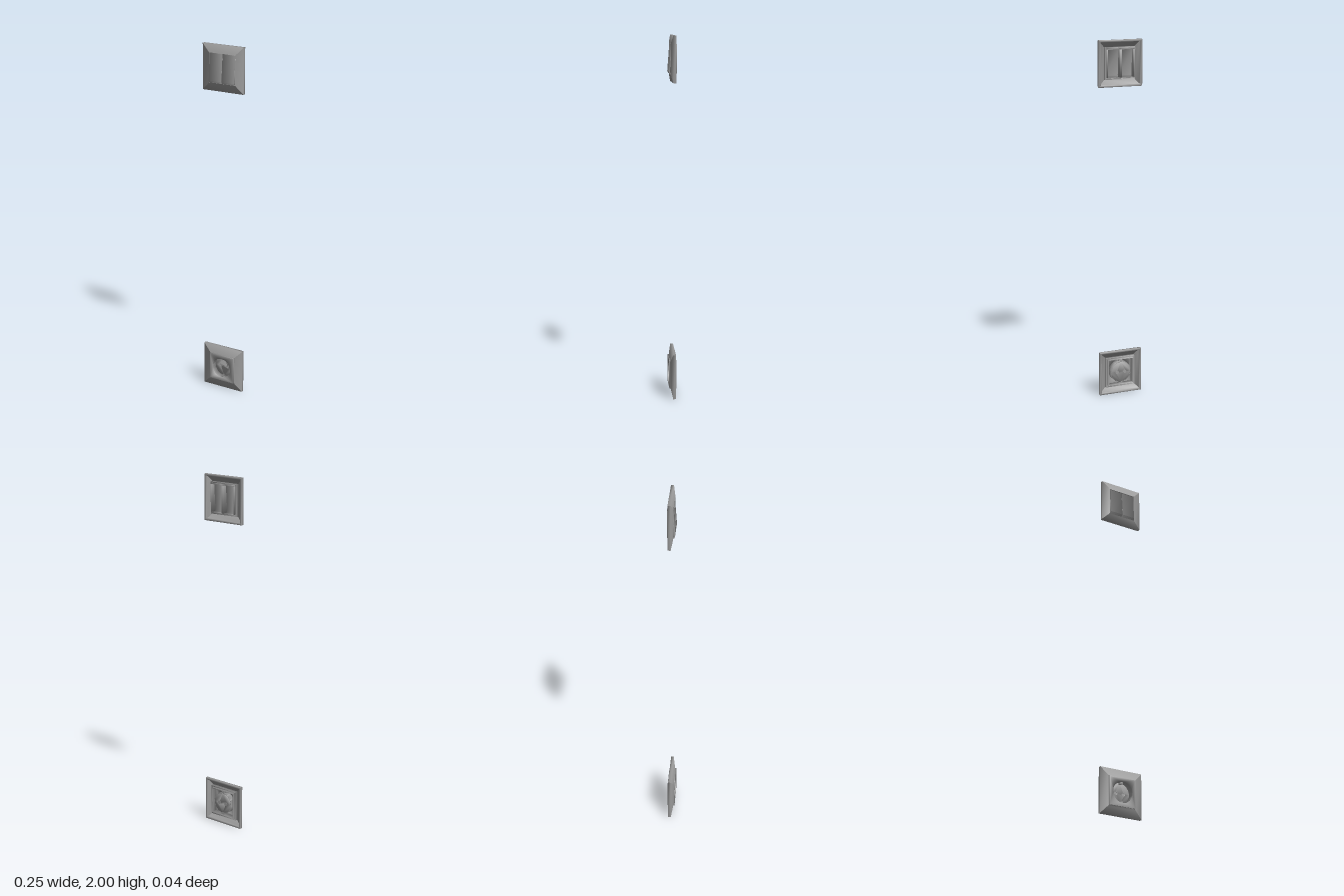
import * as THREE from 'three';
import { toCreasedNormals } from 'three/addons/utils/BufferGeometryUtils.js';

const material = new THREE.MeshStandardMaterial({ color: 0x9c9c9c, side: THREE.DoubleSide });
const HALF = 0.126; // half width of a cover plate
const SOFT = 1.7; // crease angle that shades softly across right-angled edges
const vecs = (pts) => pts.map(([a, b]) => new THREE.Vector2(a, b));

function add(parent, name, geometry, x = 0, y = 0, z = 0) {
  const mesh = new THREE.Mesh(toCreasedNormals(geometry, SOFT), material);
  mesh.name = name;
  mesh.position.set(x, y, z);
  parent.add(mesh);
}

// Sweeps a [distance from centre, z] profile around the z axis
const turned = (pts, sides) => new THREE.LatheGeometry(vecs(pts), sides).rotateX(Math.PI / 2);

// Four straight lengths of one profile, each shaded on its own so the mitres stay crisp
function addSquareRing(parent, name, pts) {
  const p = vecs(pts.map(([r, z]) => [r * Math.SQRT2, z]));
  for (let i = 0; i < 4; i++) {
    const start = Math.PI / 4 + i * Math.PI / 2;
    add(parent, name, new THREE.LatheGeometry(p, 1, start, Math.PI / 2).rotateX(Math.PI / 2));
  }
}

function extruded(shape, depth) {
  return new THREE.ExtrudeGeometry(shape, { depth, bevelEnabled: false, curveSegments: 32 });
}

function circleHole(shape, x, y, r) {
  shape.holes.push(new THREE.Path().absarc(x, y, r, 0, Math.PI * 2, true));
}

// Hollow bevelled surround shared by both units
function addFrame(unit) {
  addSquareRing(unit, 'frame', [
    [HALF, -0.016], [HALF, 0], [0.088, 0.009], [0.081, 0.01], [0.081, -0.012],
    [0.086, -0.012], [0.088, 0.004], [0.115, -0.004], [0.115, -0.016], [HALF, -0.016],
  ]);
}

function makeSwitch() {
  const unit = new THREE.Group();
  unit.name = 'lightSwitch';
  addFrame(unit);

  // Side outline of a rocker in z and y: thin at the top, thick at the bottom
  const front = [[0.008, 0.079], [0.019, -0.07], [0.015, -0.079]];
  const inner = front.map(([z, y]) => [z - 0.004, y * 0.95]);
  const shell = new THREE.Shape(vecs([
    [-0.022, 0.079], ...front, [-0.022, -0.079], [-0.022, -0.075], ...[...inner].reverse(), [-0.022, 0.075],
  ]));
  const end = new THREE.Shape(vecs([[-0.022, 0.075], ...inner, [-0.022, -0.075]]));
  const width = 0.0765, wall = 0.003;
  for (const side of [-1, 1]) {
    const rocker = new THREE.Group();
    rocker.name = side > 0 ? 'leftRocker' : 'rightRocker';
    rocker.position.x = side * (0.0015 + width / 2);
    unit.add(rocker);
    add(rocker, 'rockerShell', extruded(shell, width).rotateY(-Math.PI / 2), width / 2);
    for (const x of [width / 2, -width / 2 + wall]) {
      add(rocker, 'rockerEnd', extruded(end, wall).rotateY(-Math.PI / 2), x);
    }
  }
  return unit;
}

function makeSocket() {
  const unit = new THREE.Group();
  unit.name = 'wallSocket';
  addFrame(unit);

  // Square insert with a round opening and a skirt behind it
  const s = 0.078, r = 0.058, floorZ = -0.014, pinX = 0.023, pinR = 0.008;
  const plate = new THREE.Shape(vecs([[-s, -s], [s, -s], [s, s], [-s, s]]));
  circleHole(plate, 0, 0, r);
  add(unit, 'insertPlate', extruded(plate, 0.004), 0, 0, 0.014);
  addSquareRing(unit, 'insertSkirt', [
    [s, -0.022], [s, 0.014], [s - 0.004, 0.014], [s - 0.004, -0.022], [s, -0.022],
  ]);

  // Round well and its floor
  add(unit, 'wellWall', turned([
    [r + 0.003, -0.018], [r + 0.003, 0.014], [r, 0.018], [r, -0.018], [r + 0.003, -0.018],
  ], 48));
  const floor = new THREE.Shape().absarc(0, 0, r + 0.001, 0, Math.PI * 2, false);
  for (const x of [-pinX, pinX]) circleHole(floor, x, 0, pinR);
  add(unit, 'wellFloor', extruded(floor, 0.004), 0, 0, floorZ - 0.004);

  for (const side of [-1, 1]) {
    // Blind pin hole
    add(unit, 'pinSleeve', turned([
      [0, -0.022], [pinR + 0.002, -0.022], [pinR + 0.002, floorZ + 0.001],
      [pinR, floorZ + 0.001], [pinR, -0.02], [0, -0.02],
    ], 24), side * pinX);
    // Earth contact and the lug that holds it
    add(unit, 'earthContact', new THREE.BoxGeometry(0.012, 0.008, 0.026), 0, side * 0.053, -0.001);
    add(unit, 'contactLug', new THREE.BoxGeometry(0.02, 0.01, 0.022), 0, side * 0.064, -0.006);
  }
  return unit;
}

export function createModel() {
  const model = new THREE.Group();
  model.name = 'switchAndSocket';
  const socket = makeSocket();
  socket.position.y = HALF;
  const lightSwitch = makeSwitch();
  lightSwitch.position.y = 2 - HALF;
  model.add(socket, lightSwitch);
  return model;
}
